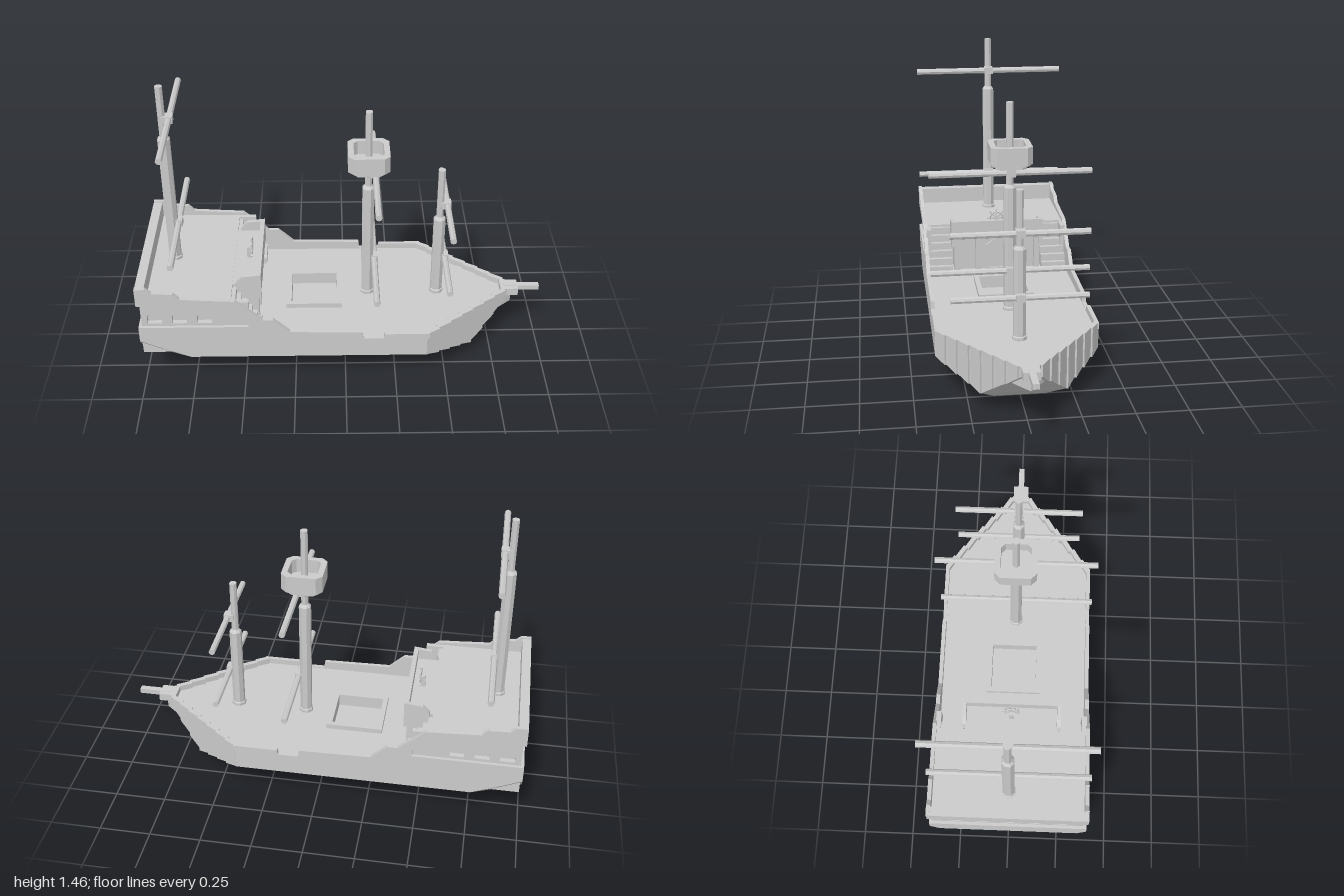
import * as THREE from 'three';

const mat = new THREE.MeshStandardMaterial({ color: 0xcccccc, flatShading: true, side: THREE.DoubleSide });
const DECK = 0.275, W = 0.39, BOW = 0.88, SHOULDER = 0.4, TOP = 0.5;

export function createModel() {
  const model = new THREE.Group();

  const add = (name, geo, x = 0, y = 0, z = 0) => {
    const m = new THREE.Mesh(geo, mat);
    m.name = name;
    m.position.set(x, y, z);
    model.add(m);
    return m;
  };
  // box given by its limits
  const box = (name, x0, x1, y0, y1, z0, z1) =>
    add(name, new THREE.BoxGeometry(x1 - x0, y1 - y0, z1 - z0), (x0 + x1) / 2, (y0 + y1) / 2, (z0 + z1) / 2);
  const toShape = (pts, holes = []) => {
    const s = new THREE.Shape(pts.map(p => new THREE.Vector2(...p)));
    s.holes = holes.map(h => new THREE.Path(h.map(p => new THREE.Vector2(...p))));
    return s;
  };
  const extrude = (pts, depth, holes) =>
    new THREE.ExtrudeGeometry(toShape(pts, holes), { depth, bevelEnabled: false });
  // horizontal plate from a plan outline
  const plate = (name, pts, y0, y1, holes, x = 0) =>
    add(name, extrude(pts, y1 - y0, holes).rotateX(-Math.PI / 2), x, y0, 0);
  const rect = (x0, x1, y0, y1) => [[x0, y0], [x1, y0], [x1, y1], [x0, y1]];
  const chamfered = (r, c) => [[-r + c, -r], [r - c, -r], [r, -r + c], [r, r - c], [r - c, r], [-r + c, r], [-r, r - c], [-r, -r + c]];

  // hull: rings at rising levels [y, half width, stern x, stern half width, aft corner x, stem x]
  const levels = [
    [0, 0.125, -0.86, 0.125, -0.86, 0.5],
    [0.04, 0.16, -0.87, 0.155, -0.865, 0.56],
    [0.09, 0.2, -0.885, 0.18, -0.87, 0.64],
    [0.115, 0.215, -0.89, 0.19, -0.87, 0.665],
    [0.12, 0.255, -0.905, 0.22, -0.86, 0.67],
    [0.135, 0.265, -0.91, 0.225, -0.85, 0.69],
    [0.14, 0.3, -0.925, 0.25, -0.84, 0.695],
    [0.152, 0.31, -0.93, 0.255, -0.83, 0.71],
    [0.156, 0.345, -0.945, 0.28, -0.81, 0.715],
    [0.17, 0.355, -0.95, 0.29, -0.78, 0.73],
    [0.174, W, -0.965, 0.31, -0.76, 0.735],
    [0.2, W, -0.98, 0.33, -0.82, 0.77],
    [0.22, W, -1, 0.345, -0.87, 0.79],
    [0.26, W, -1, 0.375, -0.96, 0.835],
    [0.28, W, -1, W, -1, 0.86]];
  const bowZ = x => W * (BOW - x) / (BOW - SHOULDER);
  const pos = [], idx = [];
  for (const [y, w, xs, ws, xa, xf] of levels) {
    const xb = Math.min(xf, BOW - (BOW - SHOULDER) * w / W);
    const half = [[xs, ws], [xa, w], [xb, w], [xf, Math.min(w, bowZ(xf))]];
    for (const [x, z] of half) pos.push(x, y, z);
    for (const [x, z] of half.reverse()) pos.push(x, y, -z);
  }
  for (let i = 0; i < levels.length - 1; i++)
    for (let j = 0; j < 8; j++) {
      const k = (j + 1) % 8, a = i * 8;
      idx.push(a + j, a + k, a + 8 + k, a + j, a + 8 + k, a + 8 + j);
    }
  for (let j = 1; j < 7; j++) idx.push(0, j + 1, j);
  const hull = new THREE.BufferGeometry();
  hull.setAttribute('position', new THREE.Float32BufferAttribute(pos, 3));
  hull.setIndex(idx);
  hull.computeVertexNormals();
  add('hull', hull);

  // main deck with a sunken framed hatch
  const hatch = rect(-0.27, -0.04, -0.115, 0.115);
  plate('deck', [[-0.99, -0.38], [SHOULDER, -0.38], [0.86, 0], [SHOULDER, 0.38], [-0.99, 0.38]], 0.2, DECK, [hatch]);
  plate('hatchFrame', rect(-0.295, -0.015, -0.14, 0.14), DECK, 0.3, [hatch]);
  box('hatchFloor', -0.28, -0.03, 0.2, 0.235, -0.12, 0.12);

  // bow planks, set slightly askew so that their ends step
  const N = 8;
  const bottom = x => x < 0.64 ? 0.175 - (x - 0.4) * 0.35 : 0.09 + (x - 0.64) * 0.87;
  for (let i = 0; i < N; i++) {
    const x0 = SHOULDER + (BOW - SHOULDER) * i / N, x1 = x0 + (BOW - SHOULDER) / N;
    const z0 = bowZ(x0), z1 = bowZ(x1), len = Math.hypot(x1 - x0, z1 - z0) / 2;
    for (const s of [1, -1]) {
      const g = extrude([[-len, bottom(x0)], [len, bottom(x1)], [len, 0.305], [-len, 0.305]], 0.024).translate(0, 0, -0.012);
      const p = add('bowPlank', g, (x0 + x1) / 2 - 0.006, 0, s * ((z0 + z1) / 2 - 0.006));
      p.rotation.y = s * (Math.atan2(z0 - z1, x1 - x0) - 0.12);
    }
  }
  box('bowsprit', 0.82, 1, 0.28, 0.306, -0.015, 0.015);
  box('stemHead', 0.8, 0.89, 0.265, 0.305, -0.04, 0.04);

  // side walls with the gallery recess running out at the stern
  const wall = [
    [-1, DECK], [-1, 0.36], [-0.47, 0.36], [-0.47, 0.41], [-0.55, 0.49], [-1, 0.49], [-1, 0.59], [-0.95, 0.59], [-0.92, 0.565],
    [-0.82, 0.56], [-0.79, 0.53], [-0.63, 0.52], [-0.53, 0.515], [-0.4, 0.4], [-0.35, 0.4], [-0.27, 0.325], [0.08, 0.318],
    [0.085, 0.28], [0.185, 0.28], [0.19, 0.305], [0.41, 0.305], [0.41, DECK]];
  // pointed arch outline used as a window opening
  const arch = u => [[u - 0.035, 0.375], [u + 0.035, 0.375], [u + 0.035, 0.42], [u, 0.452], [u - 0.035, 0.42]];
  for (const s of [1, -1]) {
    add('sideWall', extrude(wall, 0.02), 0, 0, s > 0 ? 0.37 : -W);
    add('sideGallery', extrude(rect(-0.985, -0.465, 0.35, 0.5), 0.025, [-0.92, -0.8, -0.68].map(arch)),
      0, 0, s > 0 ? 0.35 : -0.375);
  }
  box('sternWall', -1, -0.97, DECK, 0.36, -0.37, 0.37);
  box('sternRail', -1, -0.955, 0.49, 0.585, -0.37, 0.37);
  add('sternGallery', extrude(rect(-0.37, 0.37, 0.35, 0.5), 0.025, [-0.26, -0.13, 0, 0.13, 0.26].map(arch))
    .rotateY(-Math.PI / 2), -0.96);

  // aft cabin and its raised deck
  box('cabinBody', -0.96, -0.55, DECK, TOP, -0.35, 0.35);
  box('cabinFrontRoom', -0.55, -0.46, DECK, TOP, -0.23, 0.23);
  box('aftDeck', -0.97, -0.55, 0.485, TOP + 0.002, -0.375, 0.375);
  box('aftDeckLip', -0.55, -0.415, 0.475, TOP, -0.23, 0.23);
  box('deckParapet', -0.432, -0.41, 0.46, 0.56, -0.24, 0.24);
  for (const s of [1, -1]) {
    add('stairRail', extrude([[-0.54, 0.48], [-0.53, 0.52], [-0.5, 0.55], [-0.41, 0.56], [-0.41, 0.42], [-0.46, 0.42]], 0.02),
      0, 0, s * 0.235 - 0.01);
    for (const z of [0.215, 0.1]) box('cabinPost', -0.462, -0.425, DECK, 0.48, s * z - 0.015, s * z + 0.015);
    // stairs
    for (let i = 0; i < 6; i++)
      box('stairStep', -0.56, -0.41 - i * 0.024, DECK + i * 0.036, DECK + (i + 1) * 0.036, s * 0.305 - 0.065, s * 0.305 + 0.065);
  }
  // cabin door with an arched opening
  add('doorFrame', extrude([[-0.06, DECK], [0.06, DECK], [0.06, 0.41], [0, 0.45], [-0.06, 0.41]], 0.015,
    [[[-0.04, 0.28], [0.04, 0.28], [0.04, 0.4], [0, 0.43], [-0.04, 0.4]]]).rotateY(Math.PI / 2), -0.462);

  // steering wheel
  box('wheelPost', -0.49, -0.47, TOP, 0.56, -0.012, 0.012);
  add('wheelRim', new THREE.TorusGeometry(0.034, 0.005, 4, 10).rotateY(Math.PI / 2), -0.465, 0.558);
  for (let i = 0; i < 4; i++)
    add('wheelSpoke', new THREE.BoxGeometry(0.008, 0.1, 0.008), -0.465, 0.558).rotation.x = i * Math.PI / 4;

  // masts: [name, x, foot, thick top, tip, yard half length, yard heights]
  const masts = [
    ['aftMast', -0.85, TOP, 1.2, 1.46, 0.39, [0.715, 1.292]],
    ['mainMast', 0.115, DECK, 0.92, 1.32, 0.39, [0.49, 0.985]],
    ['foreMast', 0.47, DECK, 0.735, 1, 0.32, [0.493, 0.803]]];
  for (const [name, x, y0, y1, y2, half, yards] of masts) {
    const profile = [[0, y0], [0.036, y0], [0.036, y0 + 0.015], [0.031, y0 + 0.02], [0.031, y1 - 0.015], [0.018, y1], [0.018, y2], [0, y2]];
    add(name, new THREE.LatheGeometry(profile.map(p => new THREE.Vector2(...p)), 8, Math.PI / 8), x);
    for (const y of yards) {
      const yx = x + 0.034;
      add(name + 'Yard', new THREE.CylinderGeometry(0.0155, 0.0155, half * 2, 8).rotateX(Math.PI / 2), yx, y);
      box(name + 'YardBracket', x, yx + 0.018, y - 0.018, y + 0.018, -0.022, 0.022);
    }
  }

  // lookout basket on the main mast
  plate('lookoutBasket', chamfered(0.1, 0.028), 1.035, 1.12, [chamfered(0.072, 0.02)], 0.115);
  plate('lookoutFloor', chamfered(0.09, 0.025), 1.025, 1.05, [], 0.115);
  plate('lookoutBase', chamfered(0.075, 0.022), 1.008, 1.026, [], 0.115);
  add('lookoutCollar', new THREE.CylinderGeometry(0.045, 0.022, 0.04, 8), 0.115, 0.99);

  return model;
}
